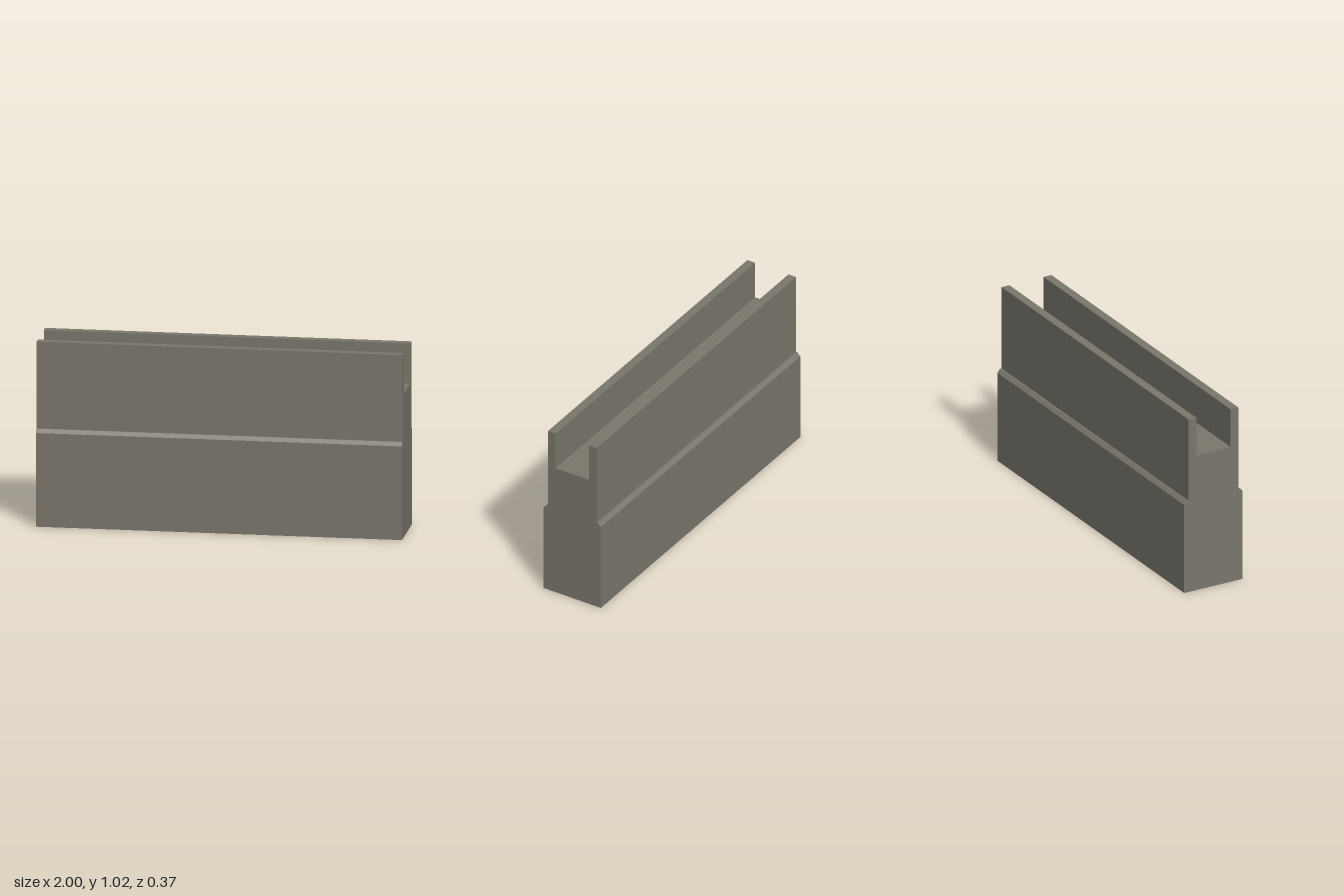
import * as THREE from 'three';

const LENGTH = 2;

// Half of the wall section as [distance from centre, height]
const HALF_PROFILE = [
  [0.183, 0], [0.183, 0.521], [0.165, 0.541], [0.156, 0.541],
  [0.156, 1.023], [0.107, 1.023], [0.107, 0.8],
];

// Drops the triangles lying on the ground, leaving the underside open
function openUnderside(geometry) {
  const source = geometry.toNonIndexed();
  const p = source.attributes.position;
  const kept = [];
  for (let i = 0; i < p.count; i += 3) {
    const corners = [i, i + 1, i + 2];
    if (corners.every((c) => Math.abs(p.getY(c)) < 1e-5)) continue;
    for (const c of corners) kept.push(p.getX(c), p.getY(c), p.getZ(c));
  }
  const result = new THREE.BufferGeometry();
  result.setAttribute('position', new THREE.Float32BufferAttribute(kept, 3));
  result.computeVertexNormals();
  return result;
}

export function createModel() {
  const group = new THREE.Group();
  group.name = 'trenchWall';

  const stone = new THREE.MeshStandardMaterial({ color: 0x7a766c, side: THREE.DoubleSide });
  stone.name = 'greyStone';

  // Mirrored section: wide base, chamfered ledges, two parapets and a channel
  const mirrored = HALF_PROFILE.map(([d, y]) => [-d, y]).reverse();
  const outline = [...HALF_PROFILE, ...mirrored].map(([d, y]) => new THREE.Vector2(d, y));

  const geometry = new THREE.ExtrudeGeometry(new THREE.Shape(outline), {
    depth: LENGTH, bevelEnabled: false,
  });
  geometry.translate(0, 0, -LENGTH / 2);
  geometry.rotateY(Math.PI / 2);

  // Hollow wall body with parapets
  const wall = new THREE.Mesh(openUnderside(geometry), stone);
  wall.name = 'wallSegment';
  group.add(wall);

  return group;
}
